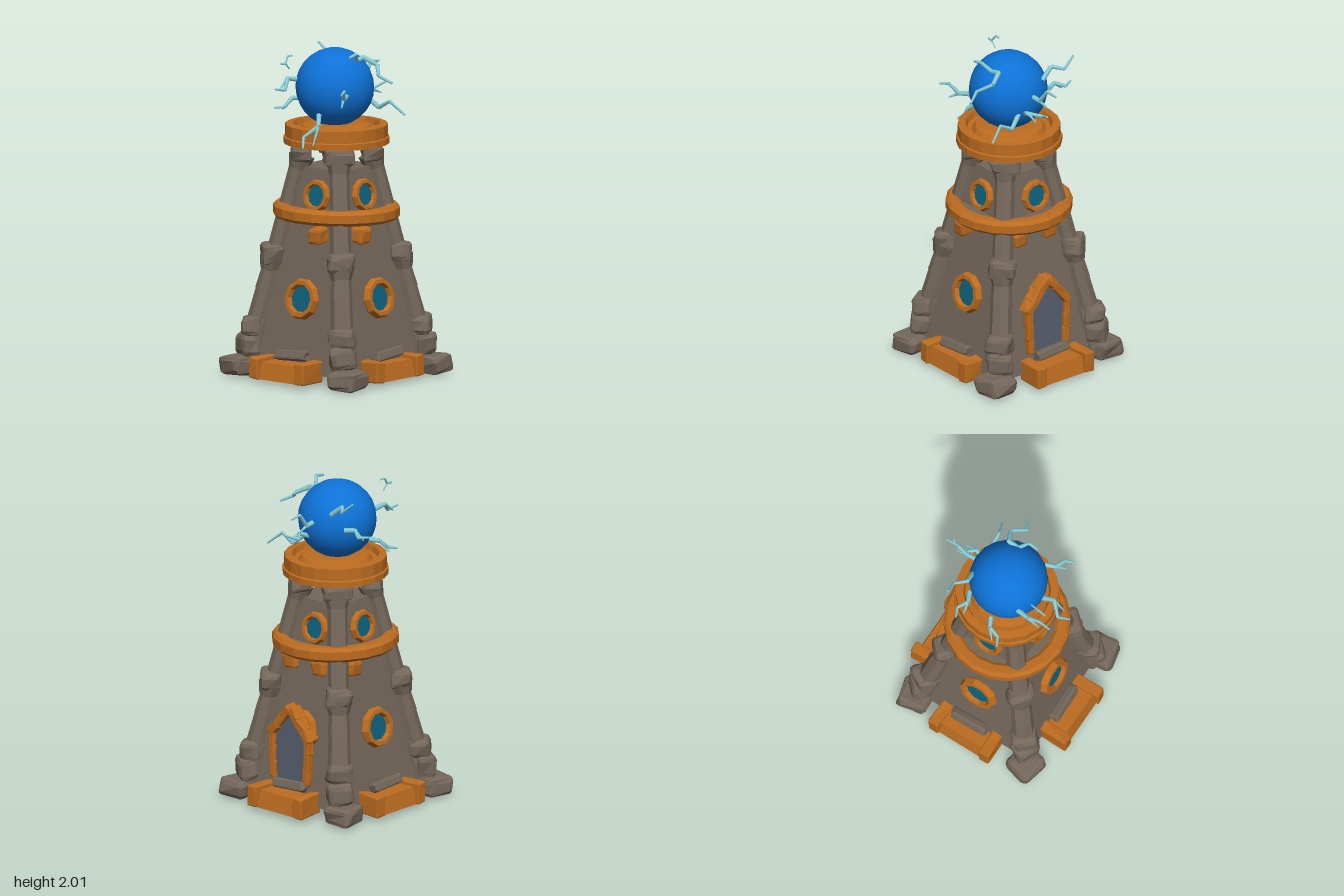
import * as THREE from 'three';
import { mergeGeometries } from 'three/addons/utils/BufferGeometryUtils.js';
import { RoundedBoxGeometry } from 'three/addons/geometries/RoundedBoxGeometry.js';

const material = (name, color, extra = {}) => {
  const m = new THREE.MeshStandardMaterial({ color, ...extra });
  m.name = name;
  return m;
};

export function createModel() {
  const model = new THREE.Group();
  model.name = 'orbTower';
  const stone = material('brownStone', 0x74675a, { flatShading: true, side: THREE.DoubleSide });
  const wood = material('orangeWood', 0xbc6c20, { flatShading: true });
  const blue = material('blueOrb', 0x0d72d6);
  const glass = material('tealGlass', 0x0e617c);
  const slate = material('slateDoor', 0x596070);
  const spark = material('paleSpark', 0x88d0da);

  const add = (parent, name, geo, mat, pos = [0, 0, 0], rot = [0, 0, 0]) => {
    const m = new THREE.Mesh(geo, mat);
    m.name = name;
    m.position.set(...pos);
    m.rotation.set(...rot);
    parent.add(m);
    return m;
  };

  // Rounded block whose corners are pushed around by a smooth rule
  const block = (w, h, d, seed, amount, round = 0.2) => {
    const g = new RoundedBoxGeometry(w, h, d, 1, Math.min(w, h, d) * round);
    const p = g.attributes.position;
    for (let i = 0; i < p.count; i++) {
      const [x, y, z] = [p.getX(i) / w, p.getY(i) / h, p.getZ(i) / d];
      p.setXYZ(i,
        w * (x + amount * Math.sin(5 * y + 3 * z + seed * 1.7)),
        h * (y + amount * Math.sin(4 * x - 3 * z + seed * 2.3)),
        d * (z + amount * Math.sin(4 * y + 4 * x + seed * 3.1)));
    }
    g.computeVertexNormals();
    return g;
  };

  // Tapered limb between two points
  const UP = new THREE.Vector3(0, 1, 0);
  const limb = (a, b, ra, rb, sides) => {
    const dir = b.clone().sub(a);
    const g = new THREE.CylinderGeometry(rb, ra, dir.length(), sides);
    g.applyQuaternion(new THREE.Quaternion().setFromUnitVectors(UP, dir.normalize()));
    return g.translate(...a.clone().add(b).multiplyScalar(0.5).toArray());
  };
  const vectors = (pts) => pts.map((p) => new THREE.Vector2(...p));
  const lathe = (pts, n) => new THREE.LatheGeometry(vectors(pts), n);

  // Half width of the tapering tower at a height
  const half = (y) => 0.405 - 0.18 * y;
  const SLOPE = -Math.atan(0.18);

  // Four-sided tower body, open underneath
  const body = lathe([[half(0.06) * Math.SQRT2, 0.06], [half(1.28) * Math.SQRT2, 1.28], [0, 1.28]], 4);
  add(model, 'towerBody', body.rotateY(Math.PI / 4), stone);

  // Round window with a frame
  const roundWindow = (parent, x, y, r, name) => {
    const g = new THREE.Group();
    g.name = name;
    g.position.set(x, y, half(y) + 0.008);
    g.rotation.x = SLOPE;
    parent.add(g);
    add(g, 'windowFrame', new THREE.TorusGeometry(r * 0.82, r * 0.2, 6, 10).scale(1, 1, 1.6), wood);
    add(g, 'windowGlass', new THREE.CircleGeometry(r * 0.78, 12), glass, [0, 0, 0.008]);
  };

  // Four sides: windows, timber step frame, stone slab, balcony brackets
  const brackets = [[-0.09], [-0.13, 0.1], [-0.12], [0.1]];
  const bracketDepth = [0.275, 0.235, 0.235, 0.28];
  const reach = [0.515, 0.555, 0.54, 0.56];
  const sides = ['front', 'left', 'back', 'right'].map((side, i) => {
    const s = new THREE.Group();
    s.name = side + 'Side';
    s.rotation.y = i * Math.PI / 2;
    model.add(s);
    roundWindow(s, 0.01, 0.5, 0.125, 'lowerWindow');
    roundWindow(s, i % 2 ? 0.03 : 0.005, 1.12, 0.1, 'upperWindow');
    const out = reach[i];
    for (const k of [-1, 1]) {
      add(s, 'framePost', block(0.07, 0.13, out - 0.37, i + k, 0.03, 0.12), wood,
        [k * 0.18, 0.085, (out + 0.37) / 2], [0, k * 0.04, 0]);
    }
    // Angled plank: a tread and a riser
    const plank = new THREE.Shape(vectors([[-0.39, 0.125], [0.04 - out, 0.125], [0.015 - out, 0.02],
      [0.035 - out, 0.02], [0.058 - out, 0.1], [-0.39, 0.1]]));
    const plankGeo = new THREE.ExtrudeGeometry(plank, { depth: 0.32, bevelEnabled: false });
    add(s, 'framePlank', plankGeo.translate(0, 0, -0.16).rotateY(Math.PI / 2), wood);
    add(s, 'stoneSlab', block(0.24, 0.06, 0.06, i, 0.03), stone, [0, 0.165, 0.41], [-0.35, 0, 0.06]);
    for (const x of brackets[i]) {
      add(s, 'balconyBracket', block(0.1, 0.1, 0.1, i, 0.04), wood, [x, 0.895, bracketDepth[i]], [0.1, 0, 0]);
    }
    return s;
  });

  // Doorway on the left side, standing clear of the sloping wall
  const door = new THREE.Group();
  door.name = 'doorway';
  sides[1].add(door);
  const panel = new THREE.Shape(vectors([[-0.14, 0.18], [0.11, 0.18], [0.11, 0.46], [-0.015, 0.6], [-0.14, 0.46]]));
  add(door, 'doorPanel', new THREE.ExtrudeGeometry(panel, { depth: 0.015, bevelEnabled: false }), slate, [0, 0, 0.37]);
  add(door, 'innerPane', new THREE.PlaneGeometry(0.26, 0.26), glass, [-0.015, 0.31, half(0.31) + 0.006], [SLOPE, 0, 0]);
  for (const k of [-1, 1]) {
    for (let j = 0; j < 3; j++) {
      add(door, 'doorJamb', block(0.045, 0.11, 0.05, j + k, 0.06), wood,
        [-0.015 + k * (0.135 + 0.004 * j), 0.235 + 0.095 * j, 0.385], [0, 0, k * 0.04 * (j - 1)]);
      add(door, 'archBlock', block(0.1, 0.055, 0.085, j * k + 2, 0.07), wood,
        [-0.015 + k * (0.13 - 0.049 * j), 0.49 + 0.06 * j, 0.37], [0, 0, -k * 0.85]);
    }
  }

  // Corner pillars: rock piles, columns and flared capitals
  const feet = [[-0.395, 0.435], [0.4, 0.425], [-0.41, -0.42], [0.385, -0.415]];
  feet.forEach(([fx, fz], c) => {
    const p = new THREE.Group();
    p.name = 'cornerPillar';
    model.add(p);
    const [sx, sz] = [Math.sign(fx), Math.sign(fz)];
    const turn = sx * sz * Math.PI / 4;
    const at = (y, push) => [sx * (half(y) + push), y, sz * (half(y) + push)];
    const rock = (name, size, pos, angle, n) => add(p, name, block(...size, c + n, 0.05, 0.27), stone,
      pos, [0, angle, 0.05 * Math.sin(c * 2 + n)]);
    rock('footRock', [0.19, 0.115, 0.19], [fx, 0.06, fz], 0.2 * Math.sin(c * 2 + 1), 0);
    rock('lowerRock', [0.16, 0.14, 0.13], at(0.185, 0.005), turn + 0.3 * Math.sin(c), 1);
    rock('pileRock', [0.16, 0.125, 0.13], at(0.3, 0.01), turn - 0.3 * Math.sin(c + 1), 2);
    rock('middleRock', [0.16, 0.12, 0.13], at(0.745, 0.005), turn, 3);
    const column = (name, y0, y1, r0, r1, push) => add(p, name,
      limb(new THREE.Vector3(...at(y0, push)), new THREE.Vector3(...at(y1, push)), r0, r1, 8), stone);
    column('baseColumn', 0.04, 0.35, 0.07, 0.07, -0.03);
    column('lowerColumn', 0.34, 0.54, 0.07, 0.064, -0.01);
    column('lowerColumn', 0.52, 0.66, 0.068, 0.06, -0.01);
    column('rockCollar', 0.64, 0.72, 0.06, 0.085, -0.005);
    column('upperColumn', 0.78, 1.29, 0.064, 0.06, -0.015);
    column('capitalFlare', 1.24, 1.34, 0.055, 0.08, -0.015);
    rock('capital', [0.18, 0.1, 0.125], at(1.36, -0.008), turn, 4);
  });

  // Balcony: stone floor and rounded timber ring
  add(model, 'balconyFloor', new THREE.CylinderGeometry(0.31, 0.31, 0.03, 16), stone, [0, 1, 0]);
  add(model, 'balconyRing', lathe([[0.3, -0.03], [0.315, -0.045], [0.365, -0.045], [0.385, -0.025],
    [0.385, 0.025], [0.365, 0.045], [0.315, 0.045], [0.295, 0.03], [0.3, -0.03]], 20), wood, [0, 1.007, 0], [0.01, 0, -0.015]);

  // Crown that cradles the orb
  add(model, 'crown', lathe([[0, 1.42], [0.322, 1.42], [0.322, 1.457], [0.312, 1.462], [0.312, 1.535],
    [0.265, 1.54], [0.255, 1.505], [0.225, 1.5], [0.205, 1.53], [0.15, 1.54], [0, 1.54]], 20), wood);

  add(model, 'orb', new THREE.SphereGeometry(0.239, 20, 14), blue, [-0.012, 1.761, -0.003]);

  // Sparks leaping from the orb: start and end of each path, kinked by rule
  const bolt = (a, b, seed, r0, r1, forked) => {
    const span = b.clone().sub(a);
    const side = new THREE.Vector3().crossVectors(span, UP).normalize();
    const pts = [0, 0.35, 0.65, 1].map((t, i) => {
      const kink = i % 3 ? 0.14 * span.length() * (i === 1 ? 1 : -1) : 0;
      return a.clone().addScaledVector(span, t)
        .addScaledVector(UP, kink * Math.sin(seed * 2 + 1)).addScaledVector(side, kink * Math.cos(seed * 2 + 1));
    });
    const r = (i) => THREE.MathUtils.lerp(r0, r1, i / 3);
    const parts = pts.slice(1).map((p, i) => limb(pts[i], p, r(i), r(i + 1), 6));
    if (forked) {
      const tip = pts[1].clone().addScaledVector(span, 0.35).add(new THREE.Vector3(0, -0.05, 0));
      parts.push(limb(pts[1], tip, r(1) * 0.8, 0.004, 6));
    }
    add(model, 'spark', mergeGeometries(parts), spark);
  };
  const forkedPaths = [
    [-0.18, 1.81, -0.155, -0.4, 1.78, -0.145],
    [-0.22, 1.62, 0.05, -0.4, 1.44, 0.08],
    [-0.14, 1.74, 0.2, -0.3, 1.78, 0.3],
    [-0.04, 1.67, -0.24, -0.16, 1.61, -0.36],
    [0.14, 1.76, -0.2, 0.12, 1.75, -0.38],
    [0.2, 1.79, -0.01, 0.42, 1.86, -0.025],
    [0.18, 1.68, 0.03, 0.41, 1.74, 0.035],
  ];
  const plainPaths = [
    [0.17, 1.85, -0.12, 0.21, 1.97, -0.33],
    [0.18, 1.7, 0.06, 0.25, 1.59, 0.33],
  ];
  [...forkedPaths, ...plainPaths].forEach((p, i) => bolt(new THREE.Vector3(...p.slice(0, 3)),
    new THREE.Vector3(...p.slice(3)), i, 0.017, 0.006, i < forkedPaths.length));

  // Long bent spark over the front of the orb, and a small loose one
  const bend = new THREE.Vector3(0.08, 1.945, 0.145);
  bolt(new THREE.Vector3(-0.1, 1.97, 0.19), bend, 0, 0.008, 0.016, false);
  bolt(bend, new THREE.Vector3(0.09, 1.81, 0.37), 1, 0.016, 0.007, false);
  bolt(new THREE.Vector3(-0.36, 1.93, -0.13), new THREE.Vector3(-0.26, 1.97, -0.13), 2, 0.007, 0.005, true);

  return model;
}
